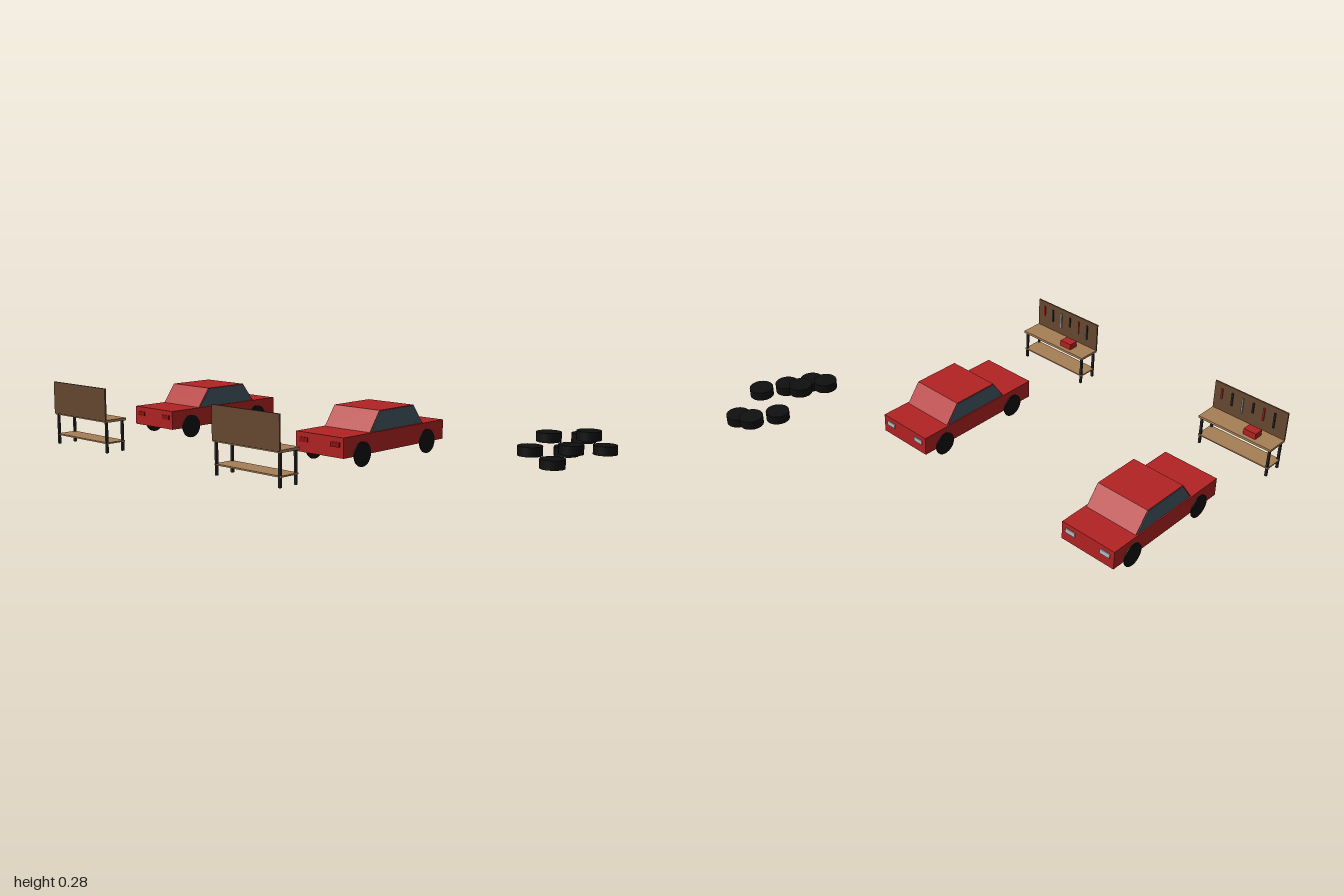
import * as THREE from 'three';

const mat = (name, color) => {
  const m = new THREE.MeshStandardMaterial({ color });
  m.name = name;
  return m;
};

export function createModel() {
  const red = mat('red paint', 0xb22222);
  const tailRed = mat('tail light red', 0x8b1010);
  const glass = mat('window glass', 0x445863);
  const lamp = mat('headlight grey', 0xb4bec6);
  const rubber = mat('rubber black', 0x0f0f0f);
  const wood = mat('bench wood', 0xa67f56);
  const darkWood = mat('board brown', 0x654830);
  const metal = mat('leg metal', 0x262626);
  const steel = mat('tool steel', 0x8c9196);

  const add = (parent, name, geometry, material, x = 0, y = 0, z = 0) => {
    const mesh = new THREE.Mesh(geometry, material);
    mesh.name = name;
    mesh.position.set(x, y, z);
    parent.add(mesh);
    return mesh;
  };
  // Box given by its limits
  const box = (parent, name, material, [x0, x1], [y0, y1], [z0, z1]) =>
    add(parent, name, new THREE.BoxGeometry(x1 - x0, y1 - y0, z1 - z0), material,
      (x0 + x1) / 2, (y0 + y1) / 2, (z0 + z1) / 2);

  // Side outline of the cabin (z, y), extruded across x
  const prism = (points, width) => {
    const shape = new THREE.Shape(points.map(([z, y]) => new THREE.Vector2(-z, y)));
    const g = new THREE.ExtrudeGeometry(shape, { depth: width, bevelEnabled: false });
    g.translate(0, 0, -width / 2);
    return g.rotateY(Math.PI / 2);
  };

  const wheelGeo = new THREE.CylinderGeometry(0.052, 0.052, 0.004, 32).rotateZ(Math.PI / 2);

  function makeCar() {
    const car = new THREE.Group();
    car.name = 'car';
    box(car, 'body', red, [-0.1315, 0.1315], [0.048, 0.132], [-0.315, 0.33]);
    add(car, 'cabin', prism([[0.163, 0.132], [-0.181, 0.132], [-0.118, 0.217], [0.103, 0.217]], 0.248), red);
    const pane = prism([[0.156, 0.133], [-0.174, 0.133], [-0.115, 0.213], [0.1, 0.213]], 0.004);
    for (const s of [-1, 1]) {
      add(car, 'sideWindow', pane, glass, s * 0.125);
      for (const z of [0.218, -0.202]) add(car, 'wheel', wheelGeo, rubber, s * 0.1325, 0.052, z);
      const x = s * 0.087;
      box(car, 'headlight', lamp, [x - 0.024, x + 0.024], [0.091, 0.111], [-0.319, -0.314]);
      box(car, 'tailLight', tailRed, [x - 0.024, x + 0.024], [0.091, 0.111], [0.329, 0.334]);
    }
    return car;
  }

  function makeBench() {
    const bench = new THREE.Group();
    bench.name = 'workbench';
    box(bench, 'benchTop', wood, [-0.185, 0.185], [0.133, 0.144], [0.632, 0.737]);
    box(bench, 'shelf', wood, [-0.182, 0.182], [0.04, 0.046], [0.638, 0.732]);
    for (const x of [-0.174, 0.174])
      for (const z of [0.645, 0.728])
        box(bench, 'leg', metal, [x - 0.005, x + 0.005], [0, 0.133], [z - 0.005, z + 0.005]);
    box(bench, 'toolBoard', darkWood, [-0.185, 0.185], [0.138, 0.28], [0.734, 0.741]);
    box(bench, 'toolbox', red, [-0.094, -0.032], [0.144, 0.172], [0.652, 0.698]);
    // Tools hanging on the board
    const finish = [red, metal, steel, metal, red, metal];
    finish.forEach((m, i) => {
      const x = 0.145 - i * 0.054;
      const drop = 0.05 + 0.012 * (i % 3);
      box(bench, 'tool', m, [x - 0.004, x + 0.004], [0.255 - drop, 0.255], [0.729, 0.735]);
    });
    return bench;
  }

  const model = new THREE.Group();
  model.name = 'garage';
  for (const x of [-0.8155, 0.231]) {
    const car = makeCar();
    const bench = makeBench();
    car.position.x = x;
    bench.position.x = x;
    model.add(car, bench);
  }

  // Spare tyres in two columns at stepped heights
  const tyreGeo = new THREE.CylinderGeometry(0.0525, 0.0525, 0.04, 32);
  for (let row = 0; row < 4; row++)
    for (let col = 0; col < 2; col++) {
      const level = (row + 1 - col) % 3;
      add(model, 'spareTyre', tyreGeo, rubber, 0.838 + col * 0.107, 0.02 + level * 0.04, -0.273 - row * 0.1395);
    }
  return model;
}
